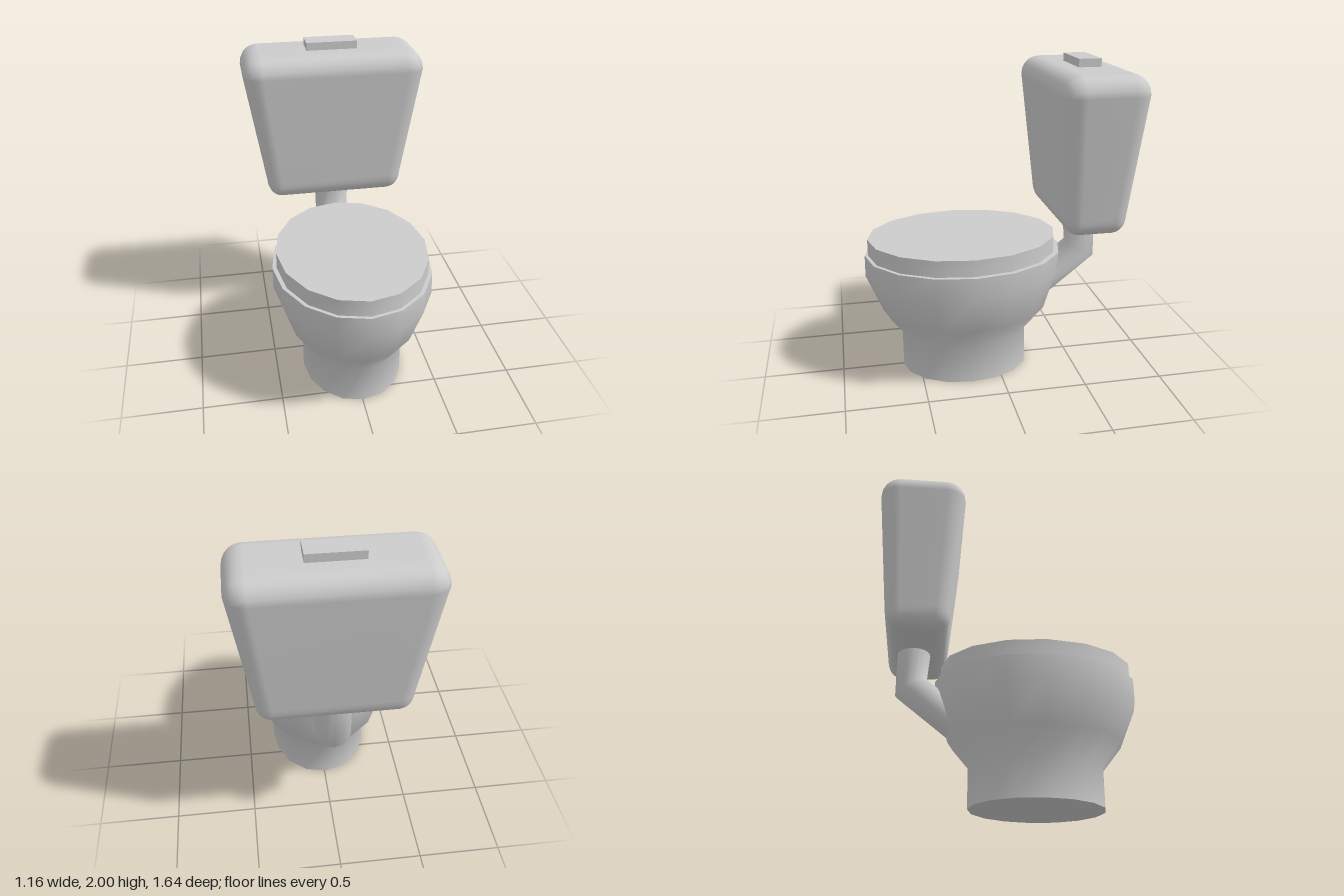
import * as THREE from 'three';
import { mergeVertices, toCreasedNormals } from 'three/addons/utils/BufferGeometryUtils.js';
import { RoundedBoxGeometry } from 'three/addons/geometries/RoundedBoxGeometry.js';

const material = new THREE.MeshStandardMaterial({ color: 0xcccccc });

function addPart(group, name, geometry) {
  const mesh = new THREE.Mesh(geometry, material);
  mesh.name = name;
  group.add(mesh);
  return mesh;
}

// Capped solid through elliptical rings, top to bottom: [y, z, radiusX, radiusZ, tilt]
function loft(rings, sides = 16) {
  const rows = rings.length - 1;
  const geometry = new THREE.CylinderGeometry(1, 1, 1, sides, rows);
  const pos = geometry.attributes.position;
  for (let i = 0; i < pos.count; i++) {
    const [y, z, rx, rz, tilt = 0] = rings[Math.round((0.5 - pos.getY(i)) * rows)];
    const u = pos.getX(i), v = pos.getZ(i);
    pos.setXYZ(i, u * rx, y + v * tilt, z + v * rz);
  }
  return toCreasedNormals(geometry, 1);
}

// Rounded box narrowing towards its base
function taperedTank() {
  const radius = 0.12, height = 0.98;
  const source = new RoundedBoxGeometry(1.16, height, 0.526, 3, radius);
  source.deleteAttribute('normal');
  source.deleteAttribute('uv');
  const geometry = mergeVertices(source, 1e-4);
  const pos = geometry.attributes.position;
  const straight = height - 2 * radius;
  for (let i = 0; i < pos.count; i++) {
    const t = THREE.MathUtils.clamp(pos.getY(i) / straight + 0.5, 0, 1);
    pos.setX(i, pos.getX(i) * THREE.MathUtils.lerp(0.79, 1, t));
    pos.setZ(i, pos.getZ(i) * THREE.MathUtils.lerp(0.75, 1, t));
  }
  geometry.computeVertexNormals();
  return geometry;
}

export function createModel() {
  const model = new THREE.Group();
  model.name = 'toilet';

  // Bowl flaring out from a straight pedestal
  addPart(model, 'bowl', loft([
    [0.79, 0.193, 0.5, 0.63],
    [0.65, 0.202, 0.5, 0.622],
    [0.4, 0.187, 0.42, 0.533],
    [0.25, 0.192, 0.323, 0.412],
    [0, 0.192, 0.323, 0.412],
  ]));

  // Closed lid
  addPart(model, 'lid', loft([
    [0.895, 0.2, 0.473, 0.602],
    [0.785, 0.2, 0.473, 0.602],
  ]));

  // Elbow pipe with a mitred bend, ending inside the bowl
  addPart(model, 'pipe', loft([
    [1.02, -0.573, 0.113, 0.105],
    [0.745, -0.582, 0.113, 0.095, 0.055],
    [0.44, -0.2, 0.113, 0.062, 0.078],
  ]));

  // Cistern and flush button
  addPart(model, 'tank', taperedTank()).position.set(0, 1.46, -0.557);
  addPart(model, 'flushButton', new THREE.BoxGeometry(0.326, 0.1, 0.14)).position.set(0, 1.95, -0.56);

  return model;
}
